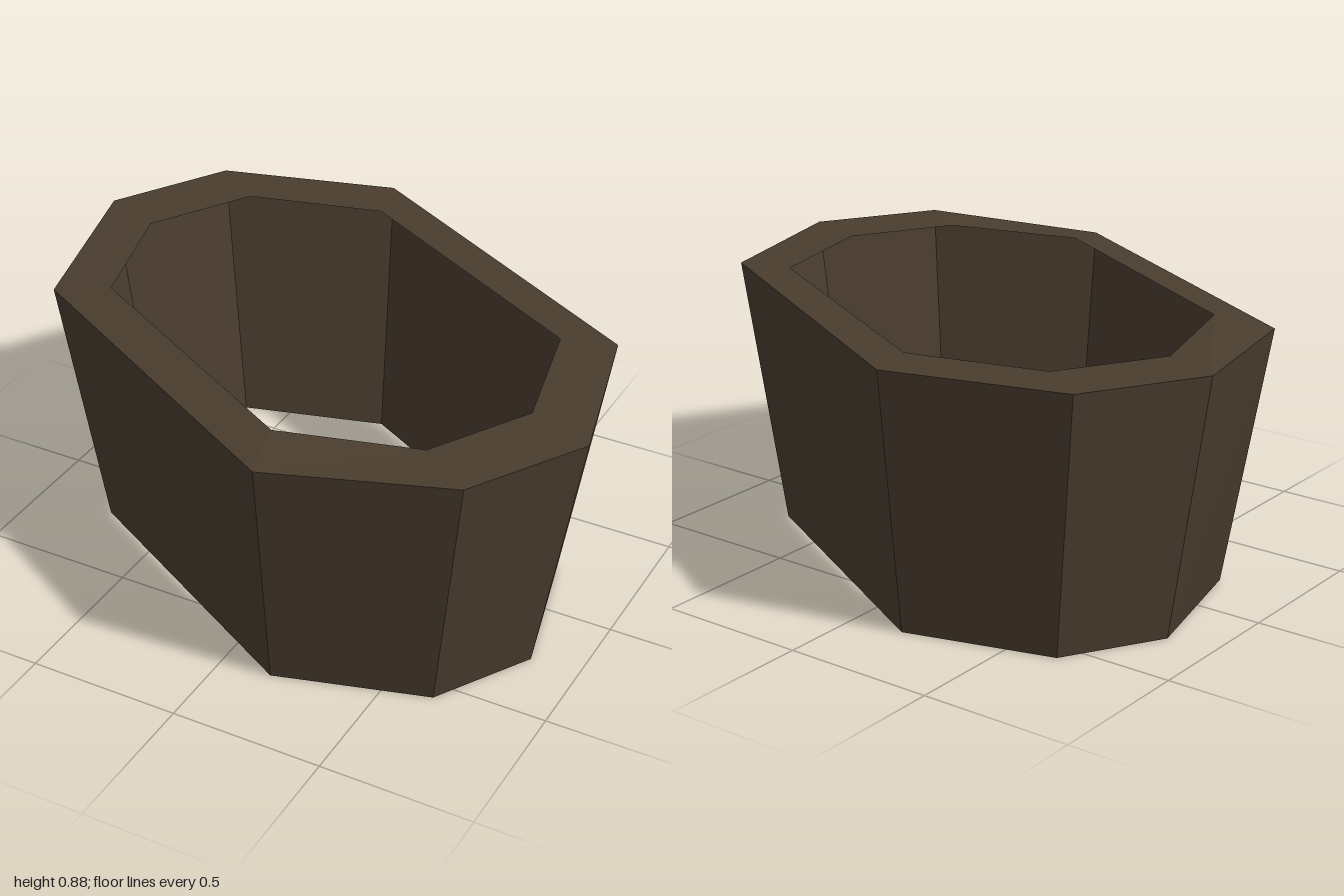
import * as THREE from 'three';

// Corners of the rim seen from above: [outer x, outer y, outer z, inner x, inner z]
const CORNERS = [
  [-0.87, 0.85, 0.25, -0.69, 0.19],
  [0.20, 0.85, 0.84, 0.16, 0.66],
  [0.78, 0.875, 0.67, 0.60, 0.54],
  [1.00, 0.875, 0.30, 0.785, 0.22],
  [0.86, 0.875, -0.25, 0.69, -0.20],
  [-0.21, 0.875, -0.84, -0.17, -0.67],
  [-0.78, 0.875, -0.68, -0.61, -0.555],
  [-1.00, 0.875, -0.31, -0.805, -0.23],
];
const TOP = 0.875;
const TAPER = 0.84;

// Joins two closed rings of points with flat quads
function band(name, a, b, material) {
  const points = [];
  a.forEach((p, i) => {
    const j = (i + 1) % a.length;
    points.push(p, a[j], b[j], p, b[j], b[i]);
  });
  const geometry = new THREE.BufferGeometry().setFromPoints(points);
  geometry.computeVertexNormals();
  const mesh = new THREE.Mesh(geometry, material);
  mesh.name = name;
  return mesh;
}

export function createModel() {
  const group = new THREE.Group();
  group.name = 'openTub';

  const wood = new THREE.MeshStandardMaterial({
    color: 0x4a3d2f, side: THREE.DoubleSide, flatShading: true,
  });
  wood.name = 'dark brown';

  const outer = CORNERS.map(([x, y, z]) => new THREE.Vector3(x, y, z));
  const inner = CORNERS.map((c) => new THREE.Vector3(c[3], TOP, c[4]));
  const base = outer.map((p) => new THREE.Vector3(p.x * TAPER, 0, p.z * TAPER));

  // Thin tapered walls, open at the bottom
  group.add(band('walls', base, outer, wood));
  // Flat rim reaching inwards from the wall tops
  group.add(band('rim', outer, inner, wood));
  return group;
}
